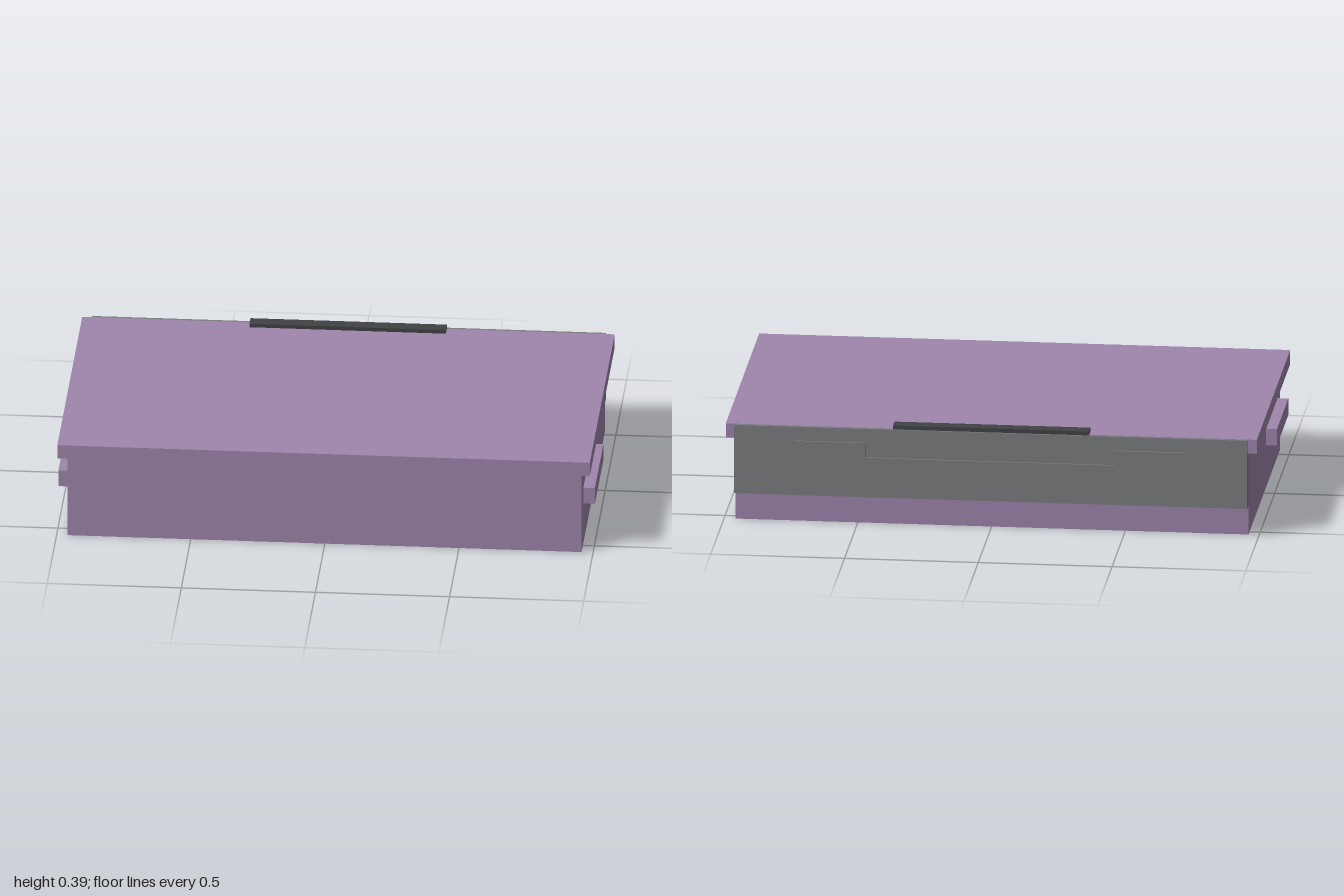
import * as THREE from 'three';

export function createModel() {
  const group = new THREE.Group();
  const material = (name, color) => {
    const m = new THREE.MeshStandardMaterial({ color });
    m.name = name;
    return m;
  };
  const purple = material('purple', 0x9f86ad);
  const grey = material('grey', 0x7c7d7f);
  const charcoal = material('charcoal', 0x414244);

  // Box given by its extents along each axis
  function box(name, mat, [x0, x1], [y0, y1], [z0, z1]) {
    const mesh = new THREE.Mesh(new THREE.BoxGeometry(x1 - x0, y1 - y0, z1 - z0), mat);
    mesh.position.set((x0 + x1) / 2, (y0 + y1) / 2, (z0 + z1) / 2);
    mesh.name = name;
    group.add(mesh);
  }

  // Case body and overhanging lid
  box('body', purple, [-0.96, 0.957], [0, 0.326], [-0.535, 0.56]);
  box('lid', purple, [-0.995, 0.99], [0.325, 0.379], [-0.57, 0.59]);

  // Side handles
  box('leftHandle', purple, [0.95, 1], [0.161, 0.225], [0.08, 0.477]);
  box('rightHandle', purple, [-1, -0.95], [0.161, 0.225], [0.08, 0.477]);

  // Rear panel and the dark strip on the top rear edge
  box('backPanel', grey, [-0.96, 0.957], [0.113, 0.378], [-0.583, -0.53]);
  box('topStrip', charcoal, [-0.368, 0.364], [0.37, 0.393], [-0.577, -0.526]);

  // Thin notched plate on the rear panel
  const outline = [
    [-0.73, 0.16], [0.73, 0.16], [0.73, 0.325], [0.465, 0.325],
    [0.465, 0.268], [-0.465, 0.268], [-0.465, 0.325], [-0.73, 0.325],
  ].map(([x, y]) => new THREE.Vector2(x, y));
  const plate = new THREE.Mesh(
    new THREE.ExtrudeGeometry(new THREE.Shape(outline), { depth: 0.009, bevelEnabled: false }),
    grey
  );
  plate.position.z = -0.59;
  plate.name = 'backPlate';
  group.add(plate);

  return group;
}
